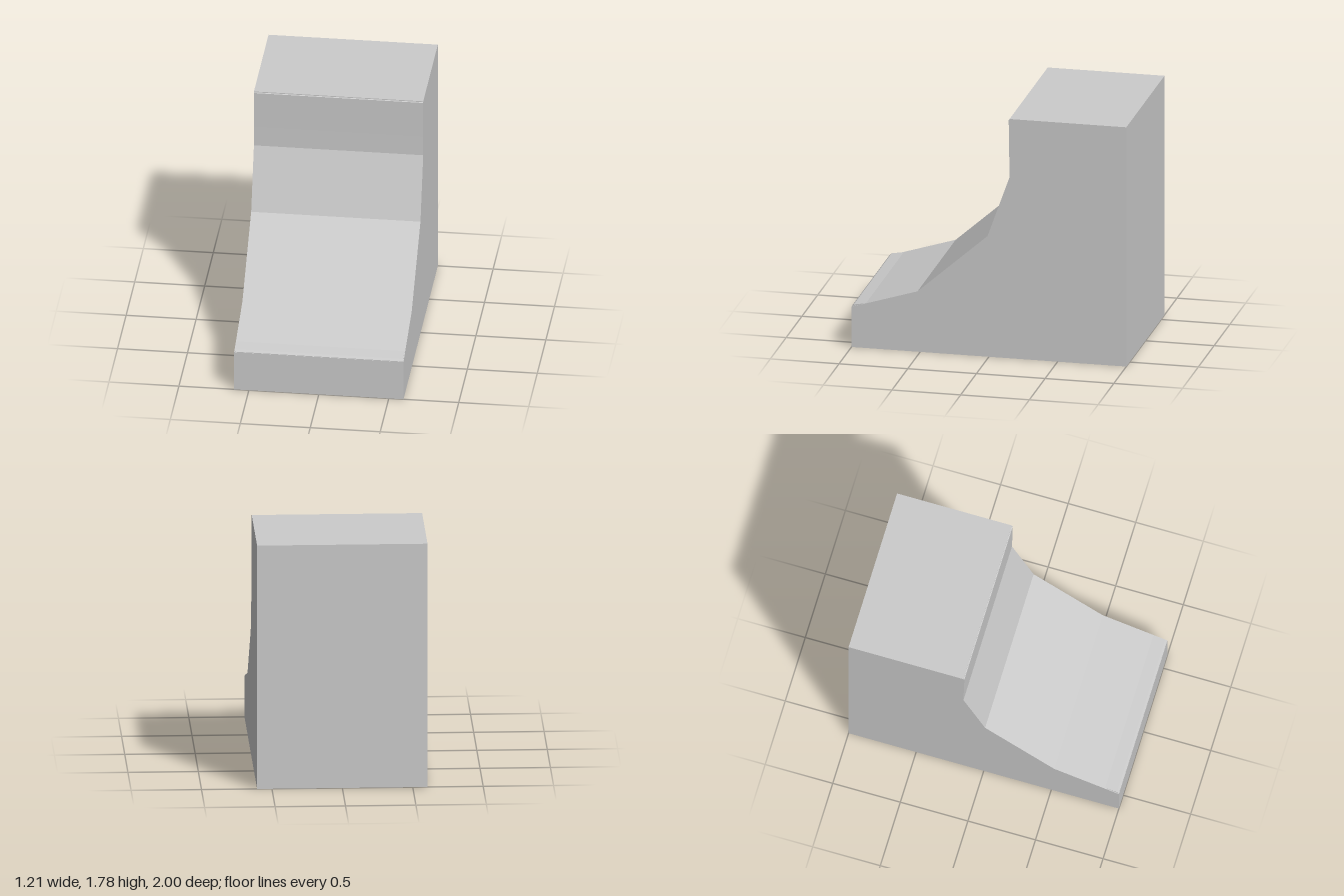
import * as THREE from 'three';

const WIDTH = 1.21;

// Extrudes a [z, y] side profile across x, centred
function slab(name, points, width, material) {
  const shape = new THREE.Shape(points.map(([z, y]) => new THREE.Vector2(z, y)));
  const geometry = new THREE.ExtrudeGeometry(shape, { depth: width, bevelEnabled: false });
  geometry.translate(0, 0, -width / 2);
  geometry.rotateY(-Math.PI / 2);
  const mesh = new THREE.Mesh(geometry, material);
  mesh.name = name;
  return mesh;
}

export function createModel() {
  const group = new THREE.Group();
  group.name = 'curvedRamp';
  const material = new THREE.MeshStandardMaterial({ color: 0xcccccc, flatShading: true });

  // Solid block with a faceted, concave riding face
  group.add(slab('rampBody', [
    [-1, 0], [1, 0], [1, 0.3], [0.52, 0.45], [0.01, 0.9],
    [-0.15, 1.35], [-0.15, 1.785], [-1, 1.785],
  ], WIDTH, material));

  // Thin raised lip along the low front edge
  group.add(slab('frontLip', [
    [0.87, 0.337], [0.87, 0.33], [0.999, 0.29], [0.999, 0.304], [0.985, 0.317],
  ], WIDTH - 0.01, material));

  // Thin strip on the upright face under the top edge
  group.add(slab('topEdgeStrip', [
    [-0.16, 1.5], [-0.146, 1.5], [-0.144, 1.775], [-0.16, 1.784],
  ], WIDTH - 0.002, material));

  return group;
}
